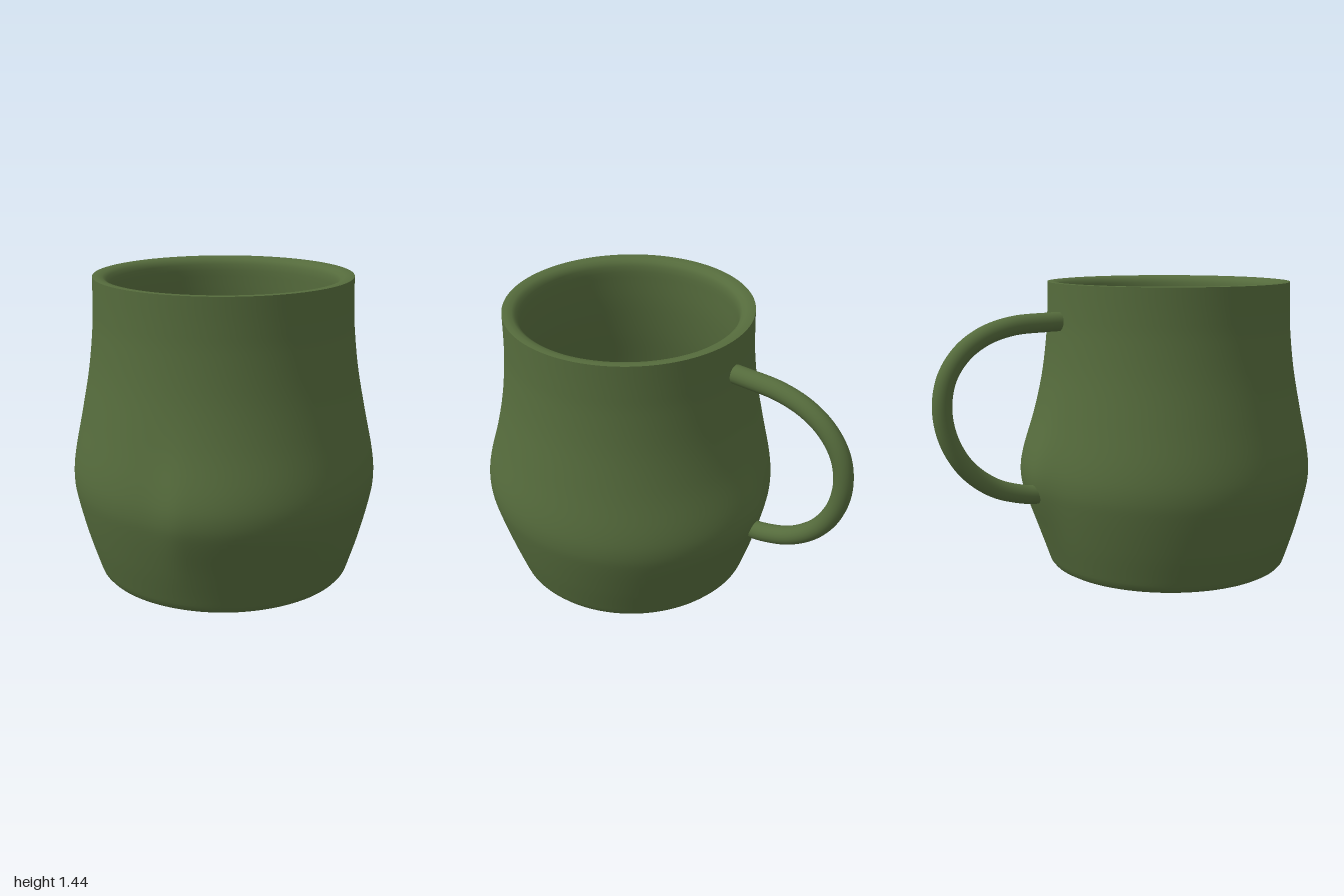
import * as THREE from 'three';
import { mergeVertices } from 'three/addons/utils/BufferGeometryUtils.js';

const material = new THREE.MeshStandardMaterial({ color: 0x556b3c });
const CENTRE = { x: -0.008, z: 0.246 };
const SEGMENTS = 144;

const vectors = (pairs) => pairs.map(([r, y]) => new THREE.Vector2(r, y));
const smooth = (pairs, n) => new THREE.SplineCurve(vectors(pairs)).getPoints(n);

// Extra swelling of the belly towards front and back: broad on the left, abrupt on the right
function bulge(x, y, z) {
  const fromPole = Math.atan2(x, Math.abs(z));
  const spread = fromPole > 0 ? Math.cos(fromPole) ** 2 : Math.exp(-((fromPole / 0.17) ** 2));
  return 0.038 * spread * Math.exp(-(((y - 0.5) / 0.24) ** 2));
}

// Revolve a profile, optionally swell it, and weld it for smooth normals
function revolve(name, profile, swell) {
  let geometry = new THREE.LatheGeometry(profile, SEGMENTS);
  const p = geometry.attributes.position;
  for (let i = 0; swell && i < p.count; i++) {
    const x = p.getX(i), y = p.getY(i), z = p.getZ(i);
    const r = Math.hypot(x, z);
    if (r < 0.58) continue;
    const k = 1 + bulge(x, y, z) / r;
    p.setX(i, x * k);
    p.setZ(i, z * k);
  }
  geometry.deleteAttribute('normal');
  geometry.deleteAttribute('uv');
  geometry = mergeVertices(geometry, 1e-5);
  geometry.computeVertexNormals();
  const mesh = new THREE.Mesh(geometry, material);
  mesh.name = name;
  mesh.position.set(CENTRE.x, 0, CENTRE.z);
  return mesh;
}

export function createModel() {
  const mug = new THREE.Group();
  mug.name = 'mug';

  // Underside with rounded foot, then the curved outer wall
  const foot = vectors([[0, 0], [0.5, 0], [0.55, 0], [0.572, 0.004], [0.59, 0.014], [0.602, 0.028]]);
  const wall = smooth([
    [0.61, 0.05], [0.657, 0.2], [0.7, 0.37], [0.717, 0.48], [0.708, 0.6],
    [0.668, 0.8], [0.631, 1.0], [0.61, 1.18], [0.604, 1.3], [0.602, 1.435],
  ], 48);
  mug.add(revolve('outerWall', [...foot, ...wall], true));

  // Rim rounding over into the hollow, down to the floor
  const rim = vectors([[0.602, 1.435], [0.58, 1.437], [0.556, 1.432], [0.538, 1.42], [0.528, 1.4]]);
  const hollow = smooth([
    [0.525, 1.37], [0.53, 1.2], [0.555, 1.0], [0.594, 0.8], [0.632, 0.6],
    [0.64, 0.48], [0.625, 0.37], [0.582, 0.2], [0.55, 0.11],
  ], 32);
  const floor = vectors([[0.53, 0.085], [0.5, 0.075], [0.45, 0.075], [0, 0.075]]);
  mug.add(revolve('rimAndHollow', [...rim, ...hollow, ...floor], false));

  // Round handle at the back, both ends sunk into the wall
  const path = new THREE.CatmullRomCurve3([
    [1.258, -0.31], [1.256, -0.42], [1.246, -0.6], [1.205, -0.74], [1.13, -0.85],
    [1.02, -0.925], [0.88, -0.951], [0.73, -0.923], [0.59, -0.84], [0.485, -0.705],
    [0.435, -0.55], [0.425, -0.45],
  ].map(([y, z]) => new THREE.Vector3(-0.014, y, z)));
  const handle = new THREE.Mesh(new THREE.TubeGeometry(path, 80, 0.046, 20), material);
  handle.name = 'handle';
  mug.add(handle);

  return mug;
}
